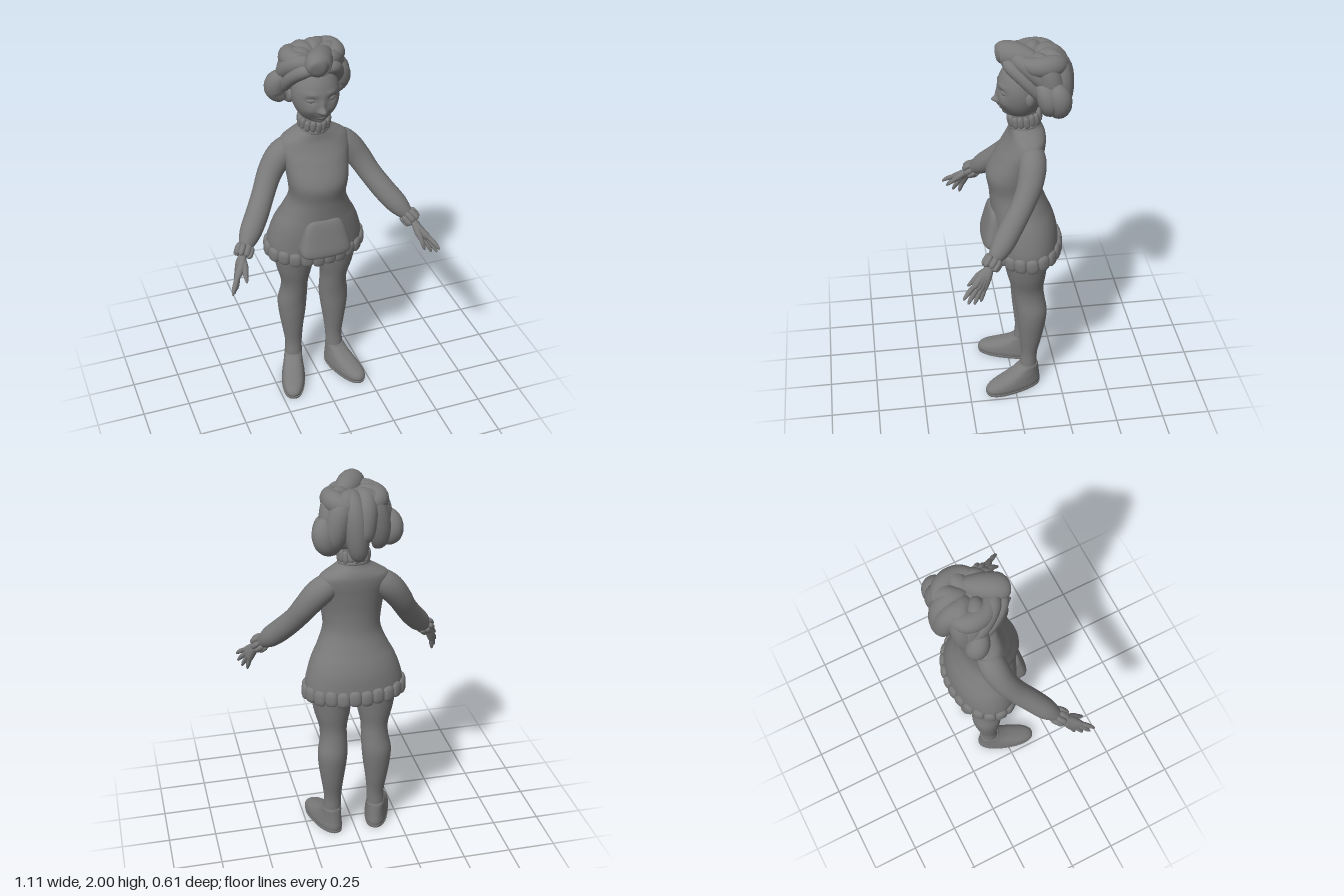
import * as THREE from 'three';

const mat = new THREE.MeshStandardMaterial({ color: 0x7a7a7a });
const V = (x, y, z) => new THREE.Vector3(x, y, z);

function add(parent, name, geometry) {
  const mesh = new THREE.Mesh(geometry, mat);
  mesh.name = name;
  parent.add(mesh);
  return mesh;
}

// Closed skin over rows of points, with crisp flat caps at both ends
function skin(rows) {
  const middle = row => {
    const c = row.reduce((sum, p) => sum.add(p), V(0, 0, 0)).divideScalar(row.length);
    return row.map(() => c);
  };
  const first = rows[0], last = rows[rows.length - 1];
  const all = [middle(first), first, ...rows, last, middle(last)];
  const n = first.length, index = [];
  for (let i = 0; i < all.length - 1; i++) {
    for (let j = 0; j < n; j++) {
      const a = i * n + j, b = i * n + (j + 1) % n;
      index.push(a, b, a + n, b, b + n, a + n);
    }
  }
  const g = new THREE.BufferGeometry().setFromPoints(all.flat());
  g.setIndex(index);
  g.computeVertexNormals();
  return g;
}

// Smooth upright form through rings [y, cx, rx, zFront, zBack]; p > 2 squares the section
function loft(rings, p = 2, steps = 48, n = 48) {
  const mid = new THREE.CatmullRomCurve3(rings.map(r => V(r[1], r[0], (r[3] + r[4]) / 2)), false, 'catmullrom');
  const rad = new THREE.CatmullRomCurve3(rings.map(r => V(r[2], 0, (r[3] - r[4]) / 2)), false, 'catmullrom');
  const pow = v => Math.sign(v) * Math.abs(v) ** (2 / p);
  const rows = [];
  for (let i = 0; i <= steps; i++) {
    const c = mid.getPoint(i / steps), r = rad.getPoint(i / steps), row = [];
    for (let j = 0; j < n; j++) {
      const a = j / n * Math.PI * 2;
      row.push(V(c.x + r.x * pow(Math.cos(a)), c.y, c.z - r.z * pow(Math.sin(a))));
    }
    rows.push(row);
  }
  return skin(rows);
}

// Round-ended sausage through points [x, y, z, radius]; s mirrors it in x
function tube(points, s = 1, steps = 28, n = 18, blunt = 0.5) {
  const path = new THREE.CatmullRomCurve3(points.map(p => V(p[0] * s, p[1], p[2])), false, 'catmullrom');
  const rad = new THREE.CatmullRomCurve3(points.map(p => V(p[3], 0, 0)), false, 'catmullrom');
  let normal = V(0.31, 0.2, 0.93);
  const rows = [];
  for (let i = 0; i <= steps; i++) {
    const t = (1 - Math.cos(Math.PI * i / steps)) / 2;
    const c = path.getPoint(t), tan = path.getTangent(t);
    normal = normal.clone().addScaledVector(tan, -normal.dot(tan)).normalize();
    const side = tan.clone().cross(normal);
    const r = rad.getPoint(t).x * Math.max(0.02, Math.sin(Math.PI * i / steps)) ** blunt;
    rows.push(Array.from({ length: n }, (_, j) => {
      const a = j / n * Math.PI * 2;
      return c.clone().addScaledVector(normal, r * Math.cos(a)).addScaledVector(side, r * Math.sin(a));
    }));
  }
  return skin(rows);
}

// Sphere moved vertex by vertex
function mould(rule, w = 24, h = 16) {
  const g = new THREE.SphereGeometry(1, w, h), pos = g.attributes.position, v = V(0, 0, 0);
  for (let i = 0; i < pos.count; i++) {
    rule(v.fromBufferAttribute(pos, i));
    pos.setXYZ(i, v.x, v.y, v.z);
  }
  g.computeVertexNormals();
  return g;
}
const puff = (v, p) => v.divideScalar((Math.abs(v.x) ** p + Math.abs(v.y) ** p + Math.abs(v.z) ** p) ** (1 / p));

// Gathered ruffle: soft pads round an ellipse
function ruffle(parent, name, a, b, count, height, thick) {
  const group = new THREE.Group();
  group.name = name;
  const ring = new THREE.EllipseCurve(0, 0, a, b);
  const half = ring.getLength() / count * 0.55;
  const pad = mould(v => puff(v, 3).multiply(V(half, height, thick)), 16, 12);
  ring.getSpacedPoints(count).slice(0, count).forEach((p, i) => {
    const mesh = add(group, name + 'Pad', pad);
    mesh.position.set(p.x, (i % 2) * 0.004, p.y);
    mesh.rotation.y = Math.atan2(p.x / a ** 2, p.y / b ** 2);
  });
  parent.add(group);
  return group;
}

function buildHead(root) {
  const head = new THREE.Group();
  head.name = 'head';
  root.add(head);

  // Face bumps: x, y, width, height, depth
  const bumps = [[0, 1.706, 0.016, 0.016, 0.028], [0, 1.735, 0.012, 0.03, 0.01], [0, 1.632, 0.035, 0.02, 0.022],
    [0, 1.678, 0.024, 0.007, 0.009], [0, 1.661, 0.02, 0.007, 0.009], [0, 1.67, 0.026, 0.003, -0.004],
    [0, 1.68, 0.045, 0.035, 0.008]];
  for (const s of [-1, 1]) {
    bumps.push([s * 0.053, 1.762, 0.026, 0.017, -0.011], [s * 0.05, 1.795, 0.03, 0.012, 0.005],
      [s * 0.06, 1.705, 0.03, 0.025, 0.008], [s * 0.016, 1.702, 0.009, 0.009, 0.009]);
  }
  add(head, 'face', mould(v => {
    const front = Math.max(0, v.z), low = Math.max(0, -v.y);
    v.set(v.x * 0.119 * (1 - 0.06 * low * low), 1.76 + v.y * 0.15, -0.047 + v.z * 0.115);
    for (const [x, y, w, h, d] of bumps) {
      v.z += Math.min(1, front * 2) * d * Math.exp(-(((v.x - x) / w) ** 2) - ((v.y - y) / h) ** 2);
    }
  }, 112, 88));

  for (const s of [-1, 1]) {
    const eye = add(head, 'eye', new THREE.SphereGeometry(1, 24, 16));
    eye.scale.set(0.025, 0.013, 0.012);
    eye.position.set(s * 0.053, 1.762, 0.041);
    eye.rotation.y = s * 0.42;
    const lid = add(head, 'eyelids', new THREE.TorusGeometry(0.025, 0.003, 8, 32));
    lid.scale.set(1, 0.58, 1);
    lid.position.set(s * 0.053, 1.762, 0.045);
    lid.rotation.y = s * 0.46;
    const ear = add(head, 'ear', new THREE.SphereGeometry(1, 16, 12));
    ear.scale.set(0.014, 0.034, 0.022);
    ear.position.set(s * 0.12, 1.745, -0.075);
  }

  // Hair: cap, front roll, swept sides, then a fan of thick uneven locks behind
  add(head, 'hairCap', mould(v => v.multiply(V(0.122, 0.135, 0.13)).add(V(0, 1.815, -0.1)), 32, 24));
  const lock = (name, pts, s = 1) => add(head, name, tube(pts, s));
  lock('frontRoll', [[-0.022, 1.925, 0.07, 0.055], [-0.014, 1.935, 0.03, 0.066], [0.03, 1.935, -0.045, 0.062],
    [0.08, 1.93, -0.12, 0.045]]);
  for (const s of [-1, 1]) {
    lock('templeLock', [[0.02, 1.91, 0.03, 0.028], [0.075, 1.902, 0.01, 0.033], [0.118, 1.845, -0.055, 0.033],
      [0.135, 1.76, -0.13, 0.036]], s);
    lock('hairlineLock', [[0.02, 1.93, 0.0, 0.035], [0.08, 1.925, -0.04, 0.042], [0.122, 1.875, -0.11, 0.045],
      [0.14, 1.79, -0.18, 0.042]], s);
    lock('sidePuff', [[0.115, 1.84, -0.11, 0.035], [0.158, 1.80, -0.145, 0.053], [0.163, 1.74, -0.165, 0.056],
      [0.13, 1.685, -0.15, 0.04]], s);
  }
  lock('crownLock', [[-0.03, 1.935, -0.02, 0.04], [-0.09, 1.92, -0.08, 0.05], [-0.09, 1.91, -0.17, 0.055],
    [-0.02, 1.9, -0.23, 0.045]]);
  lock('crownSwirl', [[0.09, 1.93, -0.04, 0.04], [0.125, 1.92, -0.11, 0.05], [0.11, 1.915, -0.19, 0.055],
    [0.05, 1.9, -0.25, 0.045]]);
  lock('sideCurl', [[0.14, 1.85, -0.17, 0.04], [0.178, 1.79, -0.205, 0.055], [0.165, 1.72, -0.21, 0.052], [0.11, 1.67, -0.18, 0.03]]);
  // Back locks: angle, reach, end height, sideways drift
  const fan = [[-1.2, 0.9, 1.74, 0.25], [-0.72, 0.95, 1.68, -0.25], [-0.25, 1, 1.72, 0.25],
    [0.2, 1.02, 1.65, -0.15], [0.62, 1.13, 1.69, 0.2], [1.1, 1.05, 1.72, -0.2]];
  for (const [angle, reach, end, drift] of fan) {
    const at = (r, y, w, turn) => [0.01 + Math.sin(angle + turn * drift) * r * reach, y,
      -0.1 - Math.cos(angle + turn * drift) * r * reach, w];
    lock('backLock', [at(0.01, 1.905, 0.045, -2), at(0.075, 1.928, 0.052, -1), at(0.125, 1.885, 0.058, 0),
      at(0.142, 1.79, 0.06, 0.6), at(0.14, end + 0.035, 0.052, 1), at(0.115, end - 0.015, 0.03, 1.4)]);
  }
}

function buildArm(root, s) {
  const arm = new THREE.Group();
  arm.name = s > 0 ? 'leftArm' : 'rightArm';
  root.add(arm);
  add(arm, 'sleeve', tube([[0.06, 1.475, -0.085, 0.055], [0.125, 1.455, -0.085, 0.07], [0.182, 1.413, -0.08, 0.071],
    [0.238, 1.34, -0.058, 0.063], [0.285, 1.26, -0.015, 0.058], [0.34, 1.18, 0.045, 0.06], [0.395, 1.112, 0.1, 0.06],
    [0.44, 1.058, 0.148, 0.044]], s, 48, 28, 0.3));
  const cuff = ruffle(arm, 'cuff', 0.034, 0.034, 8, 0.031, 0.016);
  cuff.position.set(s * 0.443, 1.055, 0.152);
  cuff.quaternion.setFromUnitVectors(V(0, 1, 0), V(s * 0.035, -0.045, 0.04).normalize());

  // Palm is flattened rows side by side, with the fingers fanned out from it
  const knuckles = [[0.506, 0.976, 0.243], [0.504, 0.964, 0.228], [0.5, 0.954, 0.212], [0.493, 0.948, 0.197]];
  const tips = [[0.55, 0.925, 0.307], [0.547, 0.895, 0.285], [0.53, 0.878, 0.252], [0.507, 0.875, 0.218]];
  knuckles.forEach((k, i) => {
    const t = tips[i], mid = (f, drop) => k.map((c, j) => c + (t[j] - c) * f + (j === 1 ? drop : 0));
    add(arm, 'palm', tube([[0.45, 1.045, 0.16, 0.023], [0.475, 1.005, 0.206 - i * 0.009, 0.023], [...k, 0.017],
      [...mid(0.25, 0), 0.012]], s, 16, 14));
    add(arm, 'finger', tube([[...mid(-0.25, 0), 0.013], [...mid(0.3, 0.004), 0.013], [...mid(0.7, 0.004), 0.0115],
      [...t, 0.008]], s, 16, 12));
  });
  add(arm, 'thumb', tube([[0.455, 1.03, 0.18, 0.018], [0.462, 0.998, 0.222, 0.018], [0.468, 0.972, 0.252, 0.0125],
    [0.47, 0.948, 0.278, 0.009]], s, 16, 12));
}

function buildLeg(root, s) {
  const leg = new THREE.Group();
  leg.name = s > 0 ? 'leftLeg' : 'rightLeg';
  root.add(leg);
  add(leg, 'stocking', loft([[0.05, 0.12, 0.047, -0.03, -0.125], [0.14, 0.12, 0.047, -0.034, -0.125],
    [0.22, 0.118, 0.047, -0.04, -0.128], [0.32, 0.12, 0.059, -0.03, -0.15], [0.42, 0.12, 0.073, -0.02, -0.168],
    [0.5, 0.118, 0.078, -0.014, -0.175], [0.58, 0.111, 0.071, -0.002, -0.163], [0.65, 0.111, 0.073, 0.012, -0.157],
    [0.74, 0.114, 0.094, 0.035, -0.168], [0.84, 0.115, 0.108, 0.055, -0.178], [0.92, 0.113, 0.108, 0.06, -0.18]]
    .map(([y, x, ...r]) => [y, x * s, ...r])));

  // Shoe, turned out about the ankle
  const shoe = new THREE.Group();
  shoe.name = 'shoe';
  shoe.position.set(s * 0.122, 0, -0.08);
  shoe.rotation.y = s * 0.32;
  add(shoe, 'shoeUpper', loft([[0.008, 0, 0.06, 0.245, -0.062], [0.03, 0, 0.064, 0.253, -0.065],
    [0.055, 0, 0.061, 0.232, -0.062], [0.08, 0, 0.056, 0.17, -0.059], [0.105, 0, 0.051, 0.105, -0.056],
    [0.13, 0, 0.049, 0.062, -0.053], [0.142, 0, 0.046, 0.05, -0.049]], 2.3, 36));
  add(shoe, 'shoeSole', loft([[0, 0, 0.063, 0.25, -0.065], [0.012, 0, 0.065, 0.254, -0.067]], 2.3, 2));
  leg.add(shoe);
}

export function createModel() {
  const root = new THREE.Group();
  root.name = 'girlInDress';

  // Sweater dress
  add(root, 'dress', loft([[0.85, 0, 0.25, 0.095, -0.245], [0.92, 0, 0.252, 0.095, -0.24], [0.99, 0, 0.235, 0.1, -0.232],
    [1.05, 0, 0.212, 0.103, -0.214], [1.11, 0, 0.18, 0.106, -0.188], [1.2, 0, 0.147, 0.113, -0.156],
    [1.3, 0, 0.155, 0.125, -0.15], [1.4, 0, 0.168, 0.075, -0.16], [1.46, 0, 0.18, 0.036, -0.168],
    [1.505, 0, 0.17, 0.013, -0.17], [1.535, 0, 0.125, 0.006, -0.163], [1.56, 0, 0.083, 0.003, -0.15],
    [1.59, 0, 0.066, 0.0, -0.138]], 2.1, 72, 64));
  const hem = ruffle(root, 'hem', 0.25, 0.167, 22, 0.041, 0.023);
  hem.position.set(0, 0.87, -0.076);
  hem.rotation.x = 0.07;

  // Front pouch: pillow tapered to the top and swelling lower down
  add(root, 'pouch', mould(v => {
    puff(v, 5);
    const up = (v.y + 1) / 2;
    v.set(v.x * (0.15 - 0.06 * up), 1.0 + v.y * 0.105, 0.088 + v.z * (0.08 - 0.052 * up));
    v.z -= 0.6 * v.x * v.x;
  }, 48, 32));

  // Neck and gathered collar
  add(root, 'neck', loft([[1.54, 0, 0.066, 0.0, -0.135], [1.6, 0, 0.06, -0.004, -0.128], [1.68, 0, 0.06, -0.005, -0.13]]));
  const collar = ruffle(root, 'collar', 0.071, 0.074, 16, 0.03, 0.014);
  collar.position.set(0, 1.6, -0.067);
  collar.rotation.x = 0.16;
  const collarBase = add(root, 'collarBase', new THREE.TorusGeometry(0.067, 0.013, 12, 40));
  collarBase.position.set(0, 1.568, -0.069);
  collarBase.rotation.x = Math.PI / 2 + 0.16;

  for (const s of [1, -1]) {
    buildArm(root, s);
    buildLeg(root, s);
  }
  buildHead(root);
  return root;
}
